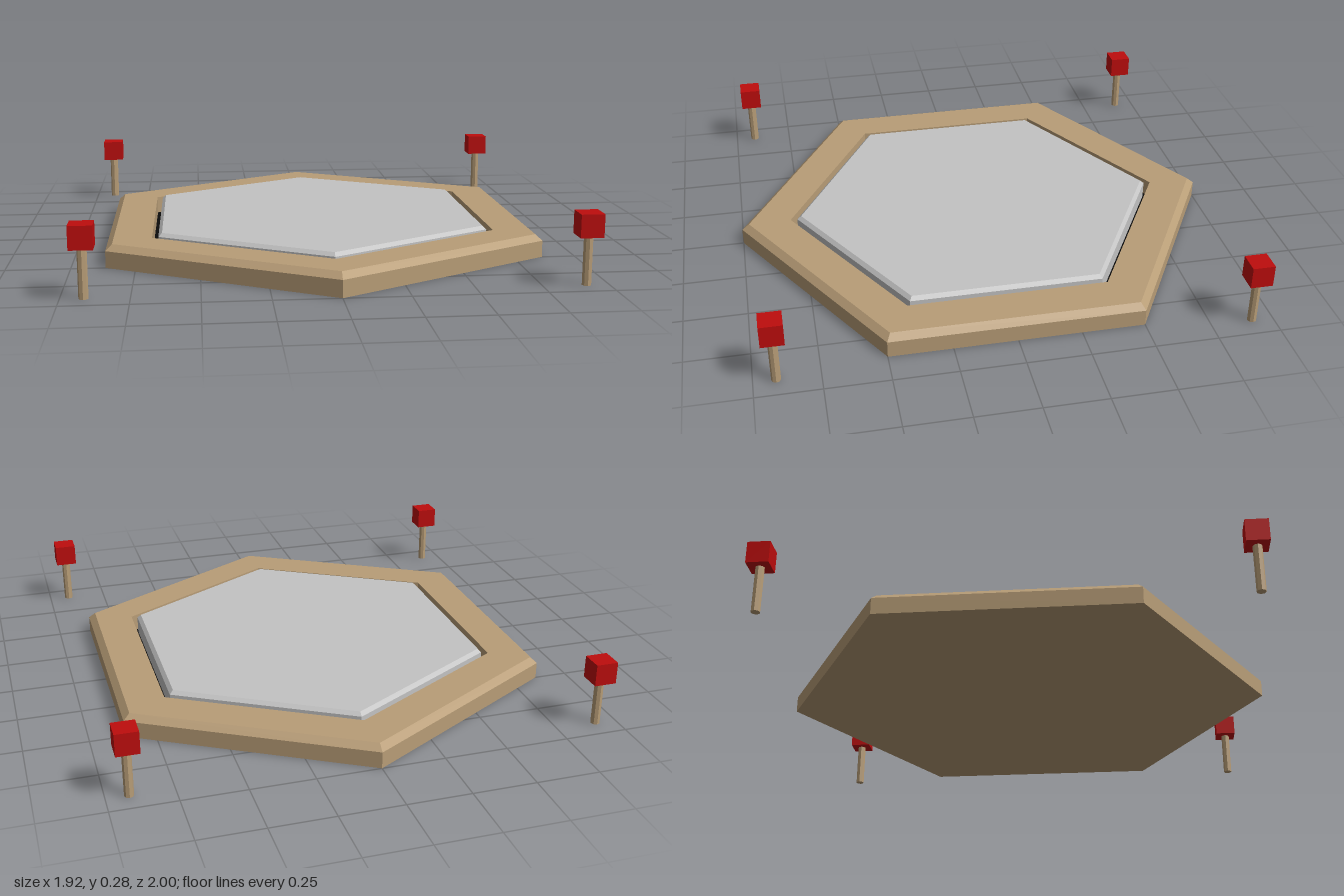
import * as THREE from 'three';

const material = (name, color, flatShading = true) => {
  const m = new THREE.MeshStandardMaterial({ color, flatShading });
  m.name = name;
  return m;
};

export function createModel() {
  const group = new THREE.Group();
  group.name = 'hexagonalPad';
  const tan = material('tan', 0xb89d77);
  const grey = material('grey', 0xc3c3c3);
  const black = material('black', 0x0c0c0c);
  const red = material('red', 0xbe0d0d);

  const add = (name, geometry, mat, x = 0, y = 0, z = 0) => {
    const mesh = new THREE.Mesh(geometry, mat);
    mesh.name = name;
    mesh.position.set(x, y, z);
    group.add(mesh);
  };

  // Six-sided solid from a [radius, height] profile, one corner towards +z
  const hexagon = (profile) =>
    new THREE.LatheGeometry(profile.map(([r, y]) => new THREE.Vector2(r, y)), 6);

  // Bevelled platform with a recess, dark groove floor and raised panel
  add('platform', hexagon([[0, 0], [1, 0], [1, 0.067], [0.97, 0.091], [0.795, 0.091], [0.795, 0.02]]), tan);
  add('grooveFloor', hexagon([[0.795, 0.02], [0, 0.02]]), black);
  add('panel', hexagon([[0.767, 0.02], [0.767, 0.091], [0.75, 0.105], [0, 0.105]]), grey);

  // Corner posts with cube markers
  const post = new THREE.CylinderGeometry(0.018, 0.018, 0.19, 8);
  const cube = new THREE.BoxGeometry(0.088, 0.088, 0.088);
  for (const x of [-0.915, 0.915]) {
    for (const z of [-0.915, 0.915]) {
      add('post', post, tan, x, 0.095, z);
      add('marker', cube, red, x, 0.231, z);
    }
  }
  return group;
}
